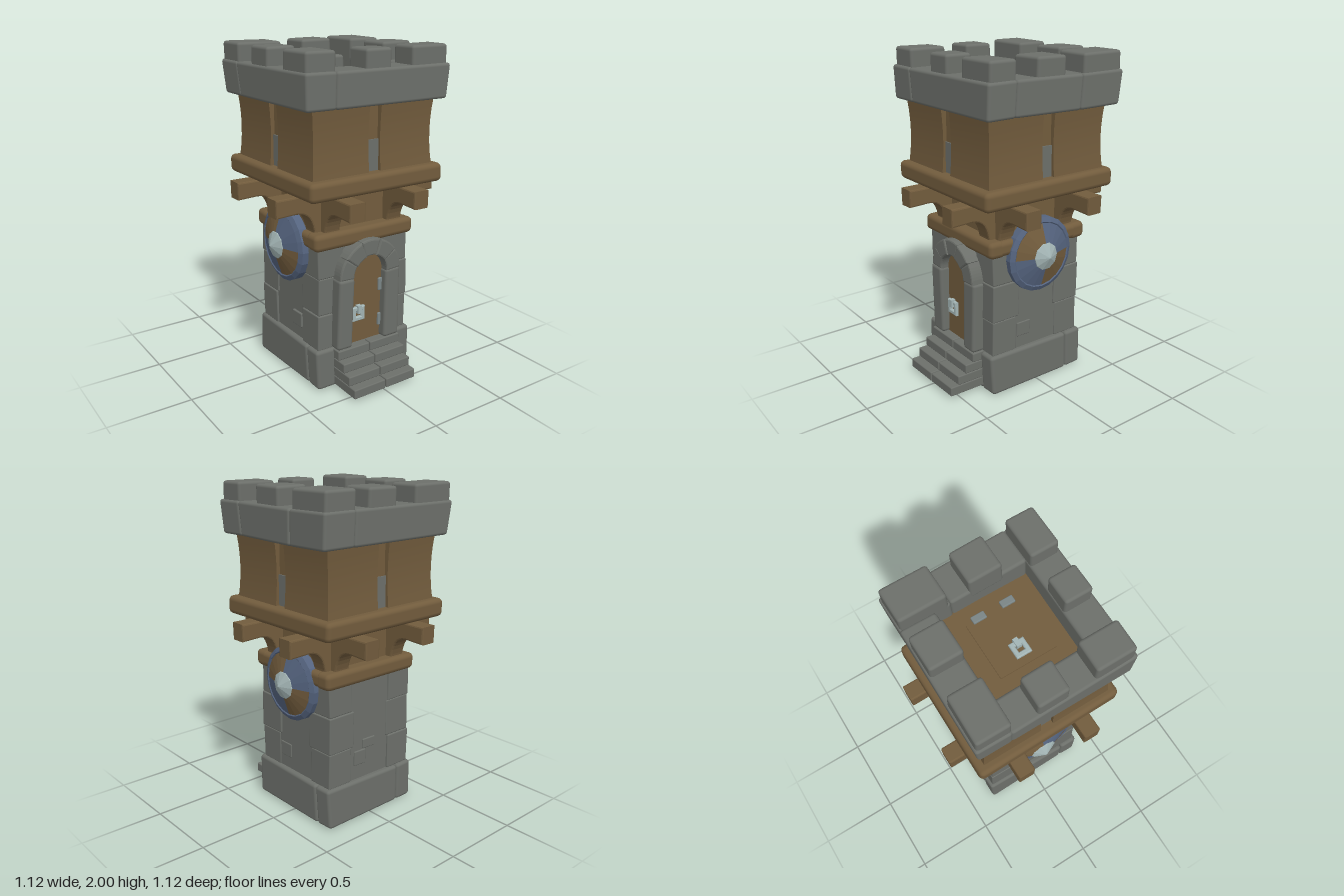
import * as THREE from 'three';
import { RoundedBoxGeometry } from 'three/addons/geometries/RoundedBoxGeometry.js';

const mat = (name, color) => {
  const m = new THREE.MeshStandardMaterial({ color });
  m.name = name;
  return m;
};

export function createModel() {
  const root = new THREE.Group();
  root.name = 'watchtower';
  const stone = mat('stone', 0x6c6f6a), wood = mat('wood', 0x725c3d);
  const steel = mat('blue steel', 0x55647f), pale = mat('pale metal', 0xa3b5b5), iron = mat('iron', 0x7a8586);

  const add = (name, geo, material, parent = root) => {
    const m = new THREE.Mesh(geo, material);
    m.name = name;
    parent.add(m);
    return m;
  };

  // Gentle hand-cut unevenness, driven by position
  const wobble = (geo, a) => {
    const p = geo.attributes.position;
    for (let i = 0; i < p.count; i++) {
      const x = p.getX(i), y = p.getY(i), z = p.getZ(i);
      p.setXYZ(i,
        x + a * Math.sin(9 * y + 5 * z + 1),
        y + a * 0.6 * Math.sin(8 * x + 7 * z + 2),
        z + a * Math.sin(9 * y + 6 * x + 3));
    }
    return geo;
  };

  // Rounded block given by its limits on each axis
  const block = (name, material, [x0, x1], [y0, y1], [z0, z1], r = 0.016, a = 0.006, parent = root) => {
    const g = new RoundedBoxGeometry(x1 - x0, y1 - y0, z1 - z0, 2, r);
    g.translate((x0 + x1) / 2, (y0 + y1) / 2, (z0 + z1) / 2);
    return add(name, wobble(g, a), material, parent);
  };

  // Base course and its inset underside
  block('baseCore', stone, [-0.31, 0.31], [0.02, 0.24], [-0.31, 0.31], 0.01, 0);
  const baseY = [0.005, 0.253];
  block('baseFront', stone, [-0.345, 0.225], baseY, [0.225, 0.345], 0.02);
  block('baseRight', stone, [0.225, 0.345], baseY, [-0.225, 0.345], 0.02);
  block('baseBack', stone, [-0.225, 0.345], baseY, [-0.345, -0.225], 0.02);
  block('baseLeft', stone, [-0.345, -0.225], baseY, [-0.345, 0.225], 0.02);

  // Shaft: flat walls with stacked corner stones
  block('shaftWalls', stone, [-0.314, 0.314], [0.24, 0.9], [-0.314, 0.314], 0.01, 0);
  const courses = [0.25, 0.47, 0.7, 0.9];
  for (const sx of [-1, 1]) for (const sz of [-1, 1])
    for (let i = 0; i < 3; i++) {
      const out = 0.325 - 0.004 * ((i + (sx > 0 ? 1 : 0)) % 2), inn = 0.15 - 0.015 * (i % 2);
      const xs = [sx * inn, sx * out].sort((p, q) => p - q);
      const zs = [sz * inn, sz * out].sort((p, q) => p - q);
      block('cornerStone', stone, xs, [courses[i], courses[i + 1]], zs, 0.008, 0.003);
    }

  // Small raised bricks on the plain walls
  for (const [x, y, w, h] of [[0.01, 0.47, 0.1, 0.06], [0.08, 0.39, 0.09, 0.09]])
    block('backBrick', stone, [x - w / 2, x + w / 2], [y - h / 2, y + h / 2], [-0.326, -0.3], 0.006, 0.004);
  for (const s of [-1, 1])
    block('sideBrick', stone, s > 0 ? [0.3, 0.324] : [-0.324, -0.3], [0.33, 0.42], [0.04, 0.14], 0.006, 0.004);

  // Steps, each of two slabs
  for (let i = 0; i < 4; i++)
    for (const xs of [[-0.23, -0.003], [0.003, 0.222]])
      block('step', stone, xs, [0.02 + 0.058 * i, 0.078 + 0.058 * i], [0.3, 0.56 - 0.054 * i], 0.007, 0.002);

  // Door leaf
  const leaf = new THREE.Shape();
  leaf.moveTo(-0.13, 0.25);
  leaf.lineTo(0.13, 0.25);
  leaf.lineTo(0.13, 0.69);
  leaf.absarc(0, 0.69, 0.13, 0, Math.PI, false);
  leaf.closePath();
  const leafGeo = new THREE.ExtrudeGeometry(leaf, { depth: 0.04, bevelEnabled: false, curveSegments: 16 });
  add('door', leafGeo.translate(0, 0, 0.3), wood);

  // Stone door surround: jambs and arch stones
  block('doorJamb', stone, [-0.226, -0.118], [0.25, 0.695], [0.29, 0.395], 0.02);
  block('doorJamb', stone, [0.112, 0.222], [0.25, 0.695], [0.29, 0.395], 0.02);
  for (let i = 0; i < 5; i++) {
    const a0 = (i / 5) * Math.PI + 0.05, a1 = ((i + 1) / 5) * Math.PI - 0.05;
    const s = new THREE.Shape();
    s.absarc(0, 0.69, 0.208, a0, a1, false);
    s.absarc(0, 0.69, 0.128, a1, a0, true);
    const g = new THREE.ExtrudeGeometry(s, {
      depth: 0.09 + 0.006 * (i % 2), bevelSize: 0.01, bevelThickness: 0.01, bevelSegments: 2, curveSegments: 3
    });
    add('archStone', g.translate(0, 0, 0.295), stone);
  }

  // Square ring pull with its tab, used on door and hatch
  const handle = (name) => {
    const g = new THREE.Group();
    g.name = name;
    const square = (P, r) => new P([[-r, -r], [r, -r], [r, r], [-r, r]].map(([x, y]) => new THREE.Vector2(x, y)));
    const s = square(THREE.Shape, 0.04);
    s.holes.push(square(THREE.Path, 0.024));
    add('pullRing', new THREE.ExtrudeGeometry(s, {
      depth: 0.014, bevelSize: 0.005, bevelThickness: 0.005, bevelSegments: 1
    }), pale, g);
    add('pullTab', new THREE.BoxGeometry(0.028, 0.05, 0.03).translate(0, 0.03, 0.015), pale, g);
    root.add(g);
    return g;
  };
  handle('doorHandle').position.set(-0.06, 0.44, 0.342);
  for (const y of [0.36, 0.59]) block('doorHinge', iron, [0.09, 0.122], [y - 0.04, y + 0.04], [0.33, 0.352], 0.006, 0);

  // Lower timber ring
  for (const s of [-1, 1]) {
    const near = s > 0 ? [0.24, 0.35] : [-0.35, -0.24];
    block('lowerBeam', wood, [-0.35, 0.35], [0.872, 0.972], near, 0.03);
    block('lowerBeam', wood, near, [0.876, 0.968], [-0.34, 0.34], 0.03);
  }

  // Recessed timber neck
  add('neck', new THREE.BoxGeometry(0.54, 0.3, 0.54).translate(0, 1.08, 0), wood);

  // Curved brackets, two on each face
  const arm = new THREE.Shape();
  arm.moveTo(0.25, 0.95);
  arm.lineTo(0.3, 0.95);
  arm.bezierCurveTo(0.31, 1.05, 0.35, 1.11, 0.43, 1.11);
  arm.lineTo(0.55, 1.105);
  arm.lineTo(0.552, 1.192);
  arm.lineTo(0.44, 1.192);
  arm.lineTo(0.25, 1.21);
  arm.closePath();
  const armGeo = new THREE.ExtrudeGeometry(arm, {
    depth: 0.085, bevelSize: 0.01, bevelThickness: 0.01, bevelSegments: 2, curveSegments: 8
  }).translate(0, 0, -0.0425);
  for (let f = 0; f < 4; f++) {
    const face = new THREE.Group();
    face.name = 'bracketPair';
    for (const z of [-0.225, 0.22]) add('bracket', armGeo, wood, face).position.z = z;
    face.rotation.y = f * Math.PI / 2;
    root.add(face);
  }

  // Platform beam under the upper room
  block('platform', wood, [-0.46, 0.46], [1.2, 1.312], [-0.46, 0.47], 0.03);

  // Upper room: recessed core and four bowed corner panels leaving slits
  add('upperCore', new THREE.BoxGeometry(0.76, 0.42, 0.76).translate(0, 1.5, 0), wood);
  for (const sx of [-1, 1]) for (const sz of [-1, 1]) {
    const g = new THREE.BoxGeometry(0.375, 0.4, 0.375, 1, 6, 1).translate(sx * 0.2275, 1.5, sz * 0.2275);
    const p = g.attributes.position;
    for (let i = 0; i < p.count; i++) {
      const t = (p.getY(i) - 1.5) / 0.2, pull = 1 - 0.03 * (1 - t * t);
      if (Math.abs(p.getX(i)) > 0.2) p.setX(i, p.getX(i) * pull);
      if (Math.abs(p.getZ(i)) > 0.2) p.setZ(i, p.getZ(i) * pull);
    }
    g.computeVertexNormals();
    add('upperPanel', g, wood);
  }
  for (let f = 0; f < 4; f++) {
    const plate = add('slitStone', new THREE.BoxGeometry(0.08, 0.19, 0.009).translate(0, 1.4, 0.385), stone);
    plate.rotation.y = f * Math.PI / 2;
  }

  // Parapet stones, flaring a little toward the top
  const parapet = [
    [[-0.485, -0.29], [-0.28, 0.47]], [[-0.295, 0.488], [0.28, 0.47]], [[0.268, 0.488], [-0.18, 0.285]],
    [[-0.485, 0.27], [-0.478, -0.27]], [[0.265, 0.488], [-0.478, -0.178]]
  ];
  for (const [xs, zs] of parapet) {
    const m = block('parapetStone', stone, xs, [1.69, 1.892], zs, 0.018, 0.004);
    const p = m.geometry.attributes.position;
    for (let i = 0; i < p.count; i++) {
      const k = 1 - 0.12 * (1.892 - p.getY(i));
      p.setX(i, p.getX(i) * k);
      p.setZ(i, p.getZ(i) * k);
    }
  }

  // Merlons
  const merlons = [
    [[-0.472, -0.185], [-0.468, -0.27]], [[-0.037, 0.172], [-0.47, -0.275]], [[0.263, 0.475], [-0.468, -0.19]],
    [[0.262, 0.468], [-0.065, 0.135]], [[0.22, 0.475], [0.28, 0.45]], [[-0.092, 0.078], [0.28, 0.445]],
    [[-0.472, -0.288], [0.215, 0.45]], [[-0.472, -0.293], [-0.122, 0.06]]
  ];
  for (const [xs, zs] of merlons)
    block('merlon', stone, xs, [1.84, 1.998], [Math.min(...zs), Math.max(...zs)], 0.018, 0.003);

  // Roof floor and hatch
  add('roofFloor', new THREE.BoxGeometry(0.62, 0.1, 0.62).translate(0, 1.715, 0), wood);
  add('hatch', new THREE.BoxGeometry(0.345, 0.012, 0.34).translate(-0.008, 1.768, 0.015), wood);
  const pull = handle('hatchHandle');
  pull.position.set(-0.093, 1.776, 0.015);
  pull.rotation.set(-Math.PI / 2, 0, -Math.PI / 2);
  for (const z of [-0.075, 0.1]) block('hatchHinge', iron, [0.147, 0.19], [1.765, 1.788], [z - 0.04, z + 0.04], 0.006, 0);

  // Quartered round shields on both sides
  const turned = (pts, seg, start = 0, len = Math.PI * 2) => {
    const g = new THREE.LatheGeometry(pts.map(([r, y]) => new THREE.Vector2(r, y)), seg, start, len).toNonIndexed();
    g.computeVertexNormals();
    return g.rotateZ(-Math.PI / 2);
  };
  for (const s of [1, -1]) {
    const shield = new THREE.Group();
    shield.name = s > 0 ? 'leftShield' : 'rightShield';
    add('shieldRim', turned([[0, 0.3], [0.215, 0.3], [0.228, 0.31], [0.228, 0.36], [0.2, 0.375], [0.19, 0.368]], 20), steel, shield);
    for (let q = 0; q < 4; q++)
      add('shieldQuarter', turned([[0.2, 0.368], [0.08, 0.408]], 5, q * Math.PI / 2, Math.PI / 2), q % 2 ? wood : steel, shield);
    add('shieldBoss', turned([[0.085, 0.4], [0.082, 0.412], [0, 0.45]], 10), pale, shield);
    shield.position.set(-0.005, 0.842, 0);
    shield.rotation.y = s > 0 ? 0 : Math.PI;
    root.add(shield);
  }
  return root;
}
